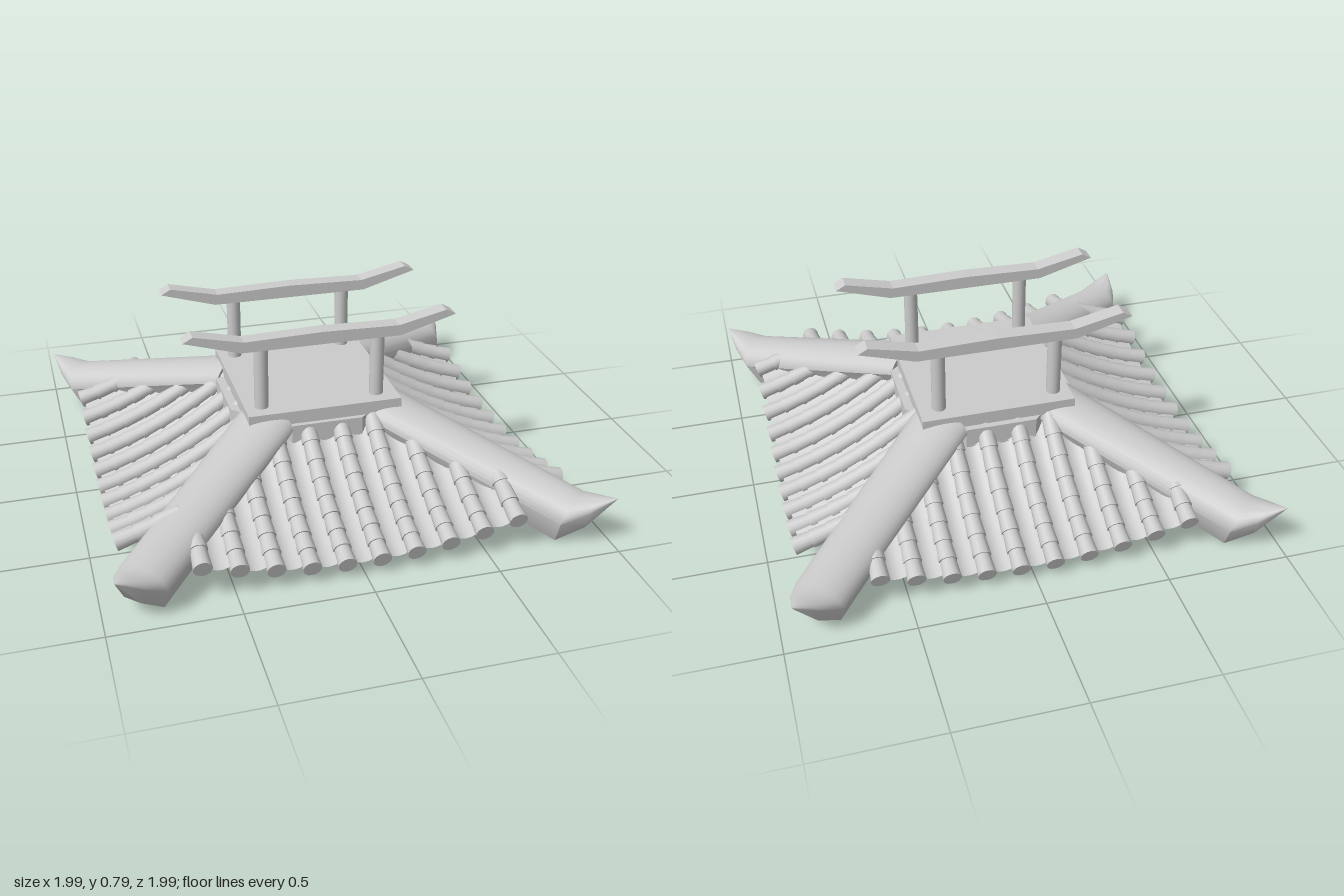
import * as THREE from 'three';
import { mergeGeometries, toCreasedNormals } from 'three/addons/utils/BufferGeometryUtils.js';

const material = new THREE.MeshStandardMaterial({ color: 0xcccccc, side: THREE.DoubleSide });

function add(parent, name, geometry, x = 0, y = 0, z = 0) {
  const mesh = new THREE.Mesh(geometry, material);
  mesh.name = name;
  mesh.position.set(x, y, z);
  parent.add(mesh);
  return mesh;
}

// Hip beam along +x: round top, tapered flat underside, upturned pointed end
function hipBeamGeometry() {
  const section = [];
  for (let i = 0; i <= 14; i++) {
    const a = (i / 14) * Math.PI;
    section.push([Math.cos(a), Math.sin(a), 0]);
  }
  section.push([-0.58, 0, -1], [0.58, 0, -1]);
  // stations: r, y of widest line, z centre, half width, top height, bottom depth, lean
  const stations = [
    [0.35, 0.36, -0.02, 0, 0, 0, 0],
    [0.35, 0.365, -0.02, 0.13, 0.068, 0.095, 0],
    [1.2, 0.11, -0.016, 0.11, 0.085, 0.108, 0.03],
    [1.29, 0.155, -0.02, 0.066, 0.051, 0.075, 0.015],
    [1.378, 0.216, -0.03, 0, 0, 0, 0],
  ];
  const positions = [], index = [], n = section.length;
  for (const [r, y, z, w, top, bottom, lean] of stations) {
    for (const [u, up, down] of section) {
      positions.push(r + lean * (up + down), y + up * top + down * bottom, z + u * w);
    }
  }
  for (let i = 0; i < stations.length - 1; i++) {
    for (let j = 0; j < n; j++) {
      const a = i * n + j, b = i * n + (j + 1) % n;
      index.push(a, a + n, b, b, a + n, b + n);
    }
  }
  const g = new THREE.BufferGeometry();
  g.setAttribute('position', new THREE.Float32BufferAttribute(positions, 3));
  g.setIndex(index);
  return toCreasedNormals(g, 0.6);
}

// Sagging roof surface, lifted toward the corners
function roofPoint(x, z, eave) {
  const s = (eave - z) / (eave - 0.33);
  return new THREE.Vector3(x, 0.068 + 0.28 * (0.55 * s + 0.45 * s * s) + 0.085 * (x / 0.63) ** 2, z);
}

// One course of tile laid between two points of the slope
function tilePiece(lower, upper, lowRadius, highRadius, start, sweep, open) {
  const dir = upper.clone().sub(lower);
  const g = new THREE.CylinderGeometry(highRadius, lowRadius, dir.length() + 0.012, open ? 8 : 14, 1, open, start, sweep);
  const X = new THREE.Vector3(1, 0, 0), Y = dir.normalize(), Z = X.clone().cross(Y);
  const middle = lower.clone().add(upper).multiplyScalar(0.5);
  middle.addScaledVector(Y, 0.006);
  return g.applyMatrix4(new THREE.Matrix4().makeBasis(X, Y, Z).setPosition(middle));
}

// A run of overlapping courses from the eave up to the hip or platform
function tileRun(x, eave, makePiece) {
  const pieces = [], inner = Math.max(0.31, Math.abs(x) + 0.02);
  const rows = Math.max(2, Math.round((eave - inner) / 0.078));
  for (let k = 0; k < rows; k++) {
    const z0 = eave + (inner - eave) * (k / rows);
    const z1 = eave + (inner - eave) * ((k + 1) / rows);
    pieces.push(makePiece(roofPoint(x, z0, eave), roofPoint(x, z1, eave)));
  }
  return pieces;
}

function tilePanel(eave, shift) {
  const panel = new THREE.Group(), ribs = [], pans = [], pitch = 0.1374;
  for (let i = 0; i < 10; i++) {
    const x = (i - 4.5) * pitch + shift;
    ribs.push(...tileRun(x, eave, (a, b) => tilePiece(a, b, 0.037, 0.031, 0, Math.PI * 2, false)));
    if (i === 9) continue;
    // shallow concave pan between neighbouring ribs
    pans.push(...tileRun(x + pitch / 2, eave - 0.008, (a, b) => {
      a.y += 0.046;
      b.y += 0.04;
      return tilePiece(a, b, 0.06, 0.06, Math.PI - 0.87, 1.74, true);
    }));
  }
  add(panel, 'ribTiles', mergeGeometries(ribs));
  add(panel, 'panTiles', mergeGeometries(pans));
  return panel;
}

// Rail with upswept ends, extruded through its thickness
function railGeometry() {
  const half = [[0.33, 0.7], [0.56, 0.768], [0.52, 0.79], [0.32, 0.745]];
  const left = half.map(([x, y]) => [-x, y]).reverse();
  const points = [...half, [0, 0.753], ...left].map(([x, y]) => new THREE.Vector2(x, y));
  const g = new THREE.ExtrudeGeometry(new THREE.Shape(points), { depth: 0.066, bevelEnabled: false });
  return g.translate(-0.004, 0, -0.033);
}

export function createModel() {
  const model = new THREE.Group();
  model.name = 'tiledRoof';

  // Central platform and its eight-sided core
  add(model, 'platform', new THREE.BoxGeometry(0.64, 0.07, 0.665), 0, 0.405, 0.003);
  const core = new THREE.CylinderGeometry(0.385, 0.385, 0.12, 8).rotateY(Math.PI / 8);
  add(model, 'platformCore', toCreasedNormals(core, 0.3), 0, 0.325, 0);

  // Four hip beams
  const beam = hipBeamGeometry();
  for (let i = 0; i < 4; i++) {
    add(model, 'hipBeam', beam).rotation.y = -Math.PI / 4 + i * Math.PI / 2;
  }

  // Four tiled slopes: name, turn, eave distance, sideways shift
  const slopes = [
    ['frontTiles', 0, 0.9, -0.008],
    ['leftTiles', Math.PI / 2, 0.895, -0.03],
    ['backTiles', Math.PI, 0.87, 0.008],
    ['rightTiles', -Math.PI / 2, 0.91, 0.03],
  ];
  for (const [name, turn, eave, shift] of slopes) {
    const panel = tilePanel(eave, shift);
    panel.name = name;
    panel.rotation.y = turn;
    model.add(panel);
  }

  // Posts and upswept rails
  const rail = railGeometry();
  const post = new THREE.CylinderGeometry(0.029, 0.029, 0.3, 20);
  for (const z of [0.256, -0.248]) {
    add(model, 'rail', rail, 0, 0, z);
    for (const x of [-0.25, 0.235]) add(model, 'post', post, x, 0.57, z);
  }
  return model;
}
